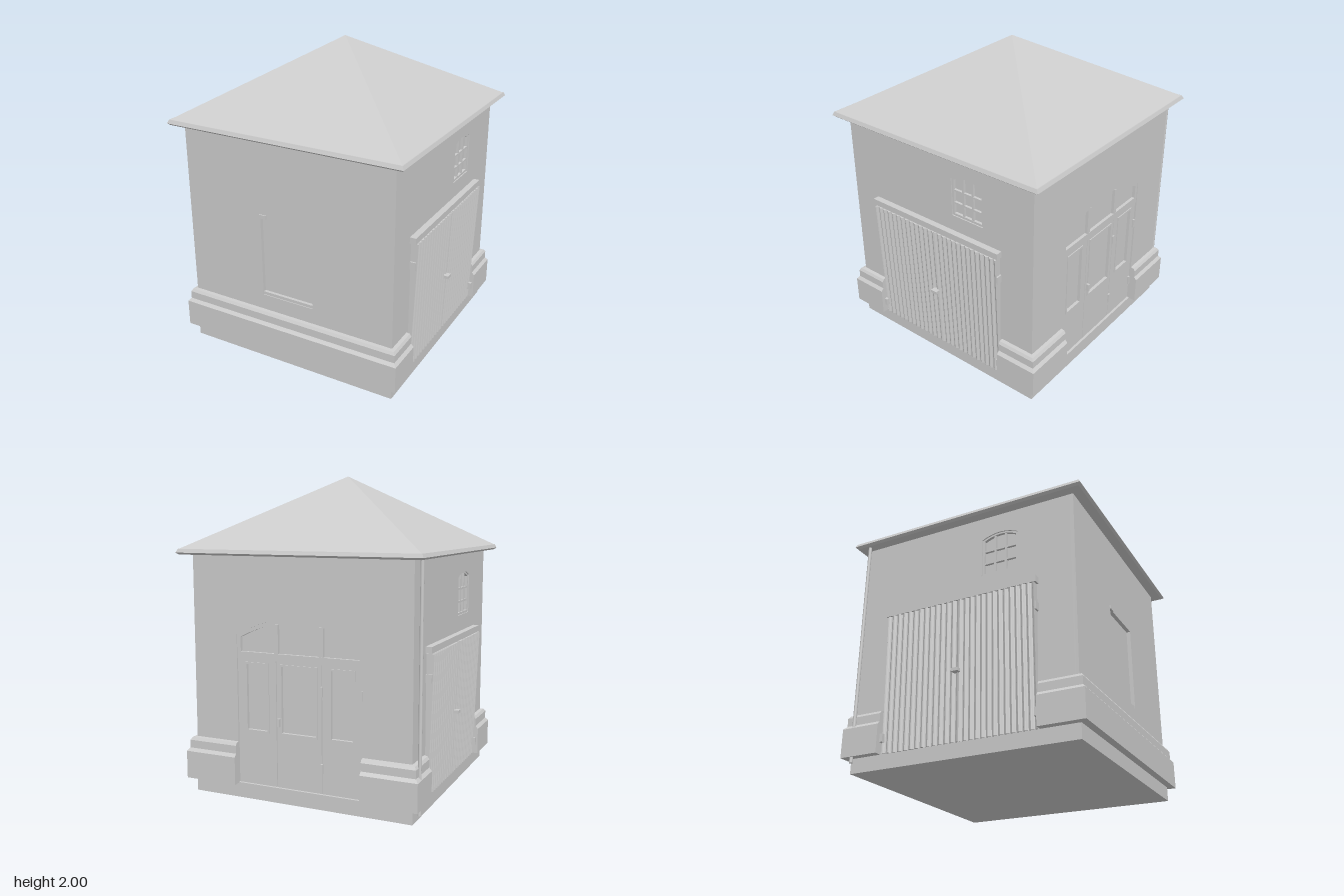
import * as THREE from 'three';

const CORE = 0.70, WALL = 0.725, TOP = 1.515;

export function createModel() {
  const model = new THREE.Group();
  model.name = 'smallHouse';
  const plaster = new THREE.MeshStandardMaterial({ color: 0xcccccc });
  plaster.name = 'pale grey';

  function add(parent, name, geometry) {
    const mesh = new THREE.Mesh(geometry, plaster);
    mesh.name = name;
    parent.add(mesh);
    return mesh;
  }

  // Box given by its limits in a face's own frame
  function box(parent, name, x0, x1, y0, y1, z0, z1) {
    const m = add(parent, name, new THREE.BoxGeometry(x1 - x0, y1 - y0, z1 - z0));
    m.position.set((x0 + x1) / 2, (y0 + y1) / 2, (z0 + z1) / 2);
    return m;
  }

  // Opening outline; rise > 0 gives a curved head
  function opening(x0, x1, y0, y1, rise = 0, Kind = THREE.Path) {
    const p = new Kind();
    p.moveTo(x0, y0);
    p.lineTo(x1, y0);
    p.lineTo(x1, y1);
    if (rise) p.quadraticCurveTo((x0 + x1) / 2, y1 + 2 * rise, x0, y1);
    else p.lineTo(x0, y1);
    p.closePath();
    return p;
  }

  // Flat plate with holes between two depths
  function plate(parent, name, shape, holes, z0, z1) {
    shape.holes.push(...holes);
    const g = new THREE.ExtrudeGeometry(shape, { depth: z1 - z0, bevelEnabled: false, curveSegments: 12 });
    g.translate(0, 0, z0);
    return add(parent, name, g);
  }

  // Stepped plinth run, mitred where it reaches a corner of the house
  const CORNER = 0.775;
  function plinth(parent, u0, u1) {
    const profile = new THREE.Shape([
      [CORE, 0.09], [CORNER, 0.09], [CORNER, 0.265], [0.758, 0.285],
      [0.758, 0.335], [0.747, 0.352], [CORE, 0.36],
    ].map(([d, y]) => new THREE.Vector2(d, y)));
    const g = new THREE.ExtrudeGeometry(profile, { depth: u1 - u0, bevelEnabled: false });
    g.rotateY(-Math.PI / 2).translate(u1, 0, 0);
    const p = g.attributes.position;
    for (let i = 0; i < p.count; i++) {
      const x = p.getX(i);
      if (Math.abs(Math.abs(x) - CORNER) < 1e-4) p.setX(i, Math.sign(x) * p.getZ(i));
    }
    g.computeVertexNormals();
    add(parent, 'plinth', g);
  }

  // Corrugated door leaf whose face leans outward towards the top
  function corrugatedLeaf(parent, u0, u1, y0, y1) {
    const ridges = 13, steps = ridges * 6, shape = new THREE.Shape();
    shape.moveTo(u0, -CORE);
    for (let i = 0; i <= steps; i++) {
      const wave = Math.cos((i / steps) * ridges * Math.PI * 2);
      shape.lineTo(u0 + (u1 - u0) * i / steps, -(0.736 + 0.006 * wave));
    }
    shape.lineTo(u1, -CORE);
    shape.closePath();
    const g = new THREE.ExtrudeGeometry(shape, { depth: y1 - y0, bevelEnabled: false });
    g.rotateX(-Math.PI / 2).translate(0, y0, 0);
    const p = g.attributes.position;
    for (let i = 0; i < p.count; i++) {
      if (p.getZ(i) > 0.72 && p.getY(i) > y0 + 0.1) p.setZ(i, p.getZ(i) + 0.032);
    }
    g.computeVertexNormals();
    add(parent, 'corrugatedDoorLeaf', g);
  }

  function face(name, angle) {
    const g = new THREE.Group();
    g.name = name;
    g.rotation.y = angle;
    model.add(g);
    return g;
  }
  const wallShape = (h) => opening(-h, h, 0.08, TOP, 0, THREE.Shape);

  // Core, foundation and roof
  box(model, 'core', -CORE, CORE, 0.05, TOP, -CORE, CORE);
  box(model, 'foundation', -0.73, 0.73, 0, 0.095, -0.73, 0.73);
  const R = Math.SQRT2;
  function square(name, rTop, rBottom, y0, y1) {
    const g = new THREE.CylinderGeometry(rTop * R, rBottom * R, y1 - y0, 4).toNonIndexed();
    g.rotateY(Math.PI / 4).translate(0, (y0 + y1) / 2, 0);
    g.computeVertexNormals();
    add(model, name, g);
  }
  square('eaveLower', 0.8, 0.785, 1.51, 1.522);
  square('eaveUpper', 0.79, 0.8, 1.522, 1.545);
  square('roof', 0, 0.785, 1.545, 2);

  // Front: one blind window and a full plinth
  const front = face('frontWall', 0);
  plate(front, 'wall', wallShape(WALL), [opening(-0.185, 0.18, 0.46, 0.995)], CORE, WALL);
  box(front, 'windowSill', -0.185, 0.18, 0.46, 0.48, CORE, 0.72);
  box(front, 'lintelBlock', -0.19, -0.14, 0.995, 1.02, CORE, 0.732);
  plinth(front, -CORNER, CORNER);

  // Both sides: corrugated double door and a barred arched window
  for (const [name, angle] of [['leftWall', Math.PI / 2], ['rightWall', -Math.PI / 2]]) {
    const side = face(name, angle);
    const hole = () => opening(0.12, 0.36, 1.105, 1.355, 0.03);
    plate(side, 'wall', wallShape(CORE), [hole()], CORE, WALL);
    plate(side, 'windowFrame', opening(0.12, 0.36, 1.105, 1.355, 0.03, THREE.Shape),
      [opening(0.134, 0.346, 1.12, 1.347, 0.027)], CORE, 0.718);
    for (const u of [0.204, 0.276]) box(side, 'windowBar', u - 0.006, u + 0.006, 1.11, 1.375, CORE, 0.716);
    for (const y of [1.19, 1.275]) box(side, 'windowBar', 0.13, 0.35, y - 0.006, y + 0.006, CORE, 0.716);
    corrugatedLeaf(side, -0.505, -0.004, 0.09, 0.955);
    corrugatedLeaf(side, 0.004, 0.485, 0.09, 0.955);
    box(side, 'doorLintel', -0.525, 0.495, 0.96, 1.0, CORE, 0.765);
    box(side, 'doorLatch', -0.035, 0.01, 0.497, 0.517, 0.73, 0.785);
    for (const u of [-0.505, 0.485]) {
      for (const y of [0.18, 0.81]) box(side, 'hinge', u - 0.01, u + 0.01, y - 0.025, y + 0.025, CORE, 0.762);
    }
    plinth(side, -CORNER, -0.525);
    plinth(side, 0.495, CORNER);
  }

  // Back: arched doorway with three glazed leaves and a fanlight
  const back = face('backWall', Math.PI);
  plate(back, 'wall', wallShape(WALL), [opening(-0.42, 0.42, 0.08, 1.03, 0.11)], CORE, WALL);
  plate(back, 'archFrame', opening(-0.42, 0.42, 0.88, 1.03, 0.11, THREE.Shape),
    [opening(-0.395, 0.395, 0.925, 1.015, 0.103)], CORE, 0.72);
  for (const u of [-0.15, 0.15]) box(back, 'fanlightPost', u - 0.014, u + 0.014, 0.92, 1.1, CORE, 0.719);
  const leaves = [[-0.42, -0.155, -0.355, -0.215], [-0.15, 0.15, -0.115, 0.115], [0.155, 0.42, 0.215, 0.355]];
  for (const [u0, u1, a, b] of leaves) {
    plate(back, 'doorLeaf', opening(u0, u1, 0.09, 0.88, 0, THREE.Shape), [opening(a, b, 0.44, 0.85)], CORE, 0.714);
    plate(back, 'paneFrame', opening(a - 0.012, b + 0.012, 0.428, 0.862, 0, THREE.Shape),
      [opening(a, b, 0.44, 0.85)], 0.712, 0.72);
  }
  for (const u of [0.152, 0.41]) {
    for (const y of [0.25, 0.72]) box(back, 'hinge', u - 0.008, u + 0.008, y - 0.03, y + 0.03, CORE, 0.725);
  }
  box(back, 'doorHandle', -0.14, -0.125, 0.48, 0.53, CORE, 0.735);
  plinth(back, -CORNER, -0.42);
  plinth(back, 0.42, CORNER);

  // Rainwater pipe at one rear corner
  const pipe = add(model, 'drainPipe', new THREE.CylinderGeometry(0.011, 0.011, 1.46, 12));
  pipe.position.set(-0.762, 0.785, -0.705);

  return model;
}
